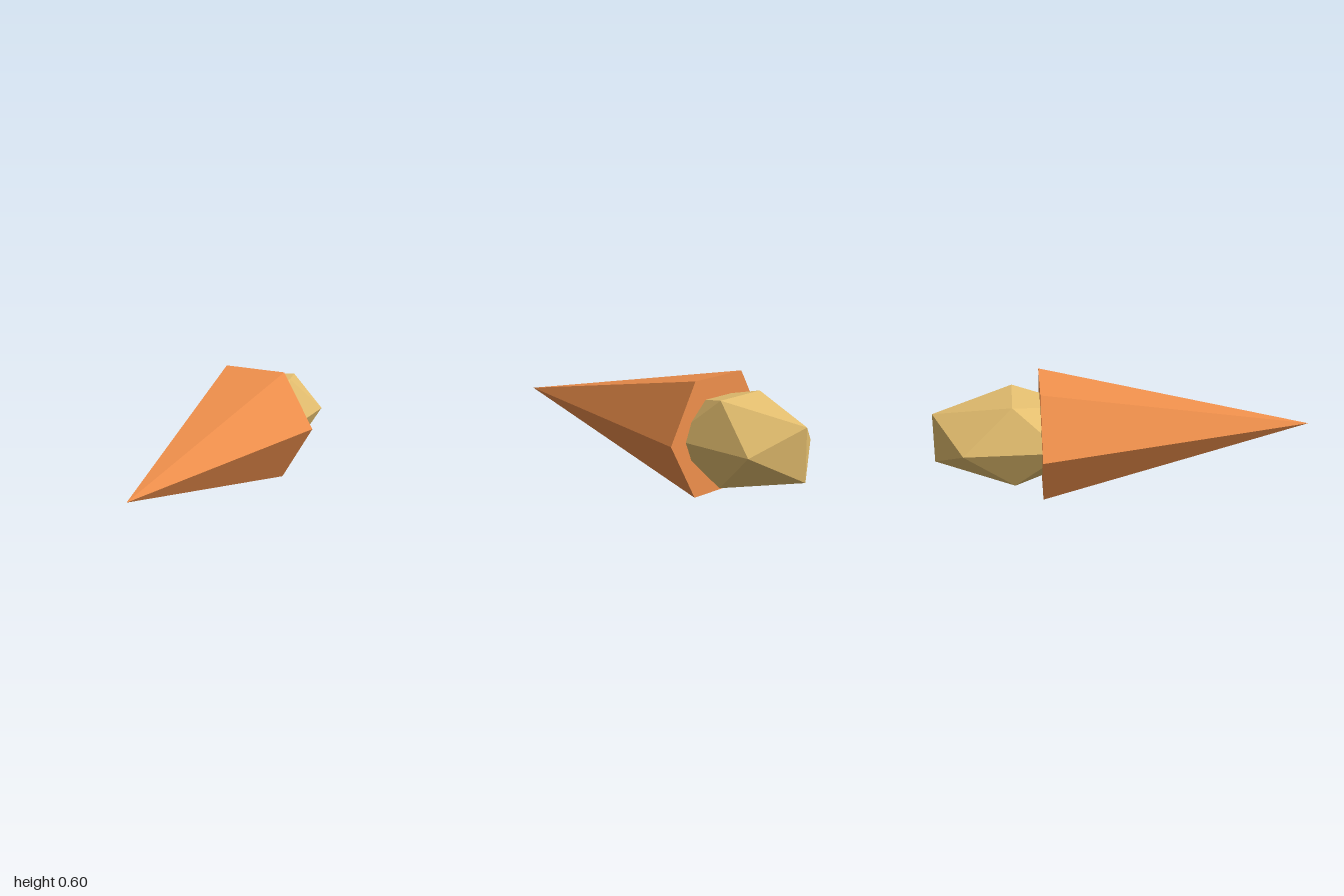
import * as THREE from 'three';

export function createModel() {
  const group = new THREE.Group();
  const centreY = 0.302, tipZ = 1, baseZ = -0.437;

  const addPart = (name, geometry, color, z) => {
    const mesh = new THREE.Mesh(
      geometry,
      new THREE.MeshStandardMaterial({ color, flatShading: true })
    );
    mesh.name = name;
    mesh.position.set(0, centreY, z);
    group.add(mesh);
  };

  // Six-sided cone lying down, tip to the front, corners at left and right
  const cone = new THREE.ConeGeometry(0.3485, tipZ - baseZ, 6);
  cone.rotateY(Math.PI / 6).rotateX(Math.PI / 2);
  addPart('cone', cone, 0xf0904c, (tipZ + baseZ) / 2);

  // Stretched icosahedron set into the open end of the cone
  const scoop = new THREE.IcosahedronGeometry(1, 0);
  scoop.scale(0.284, 0.264, 0.492);
  addPart('scoop', scoop, 0xe6c070, -0.582);

  return group;
}
